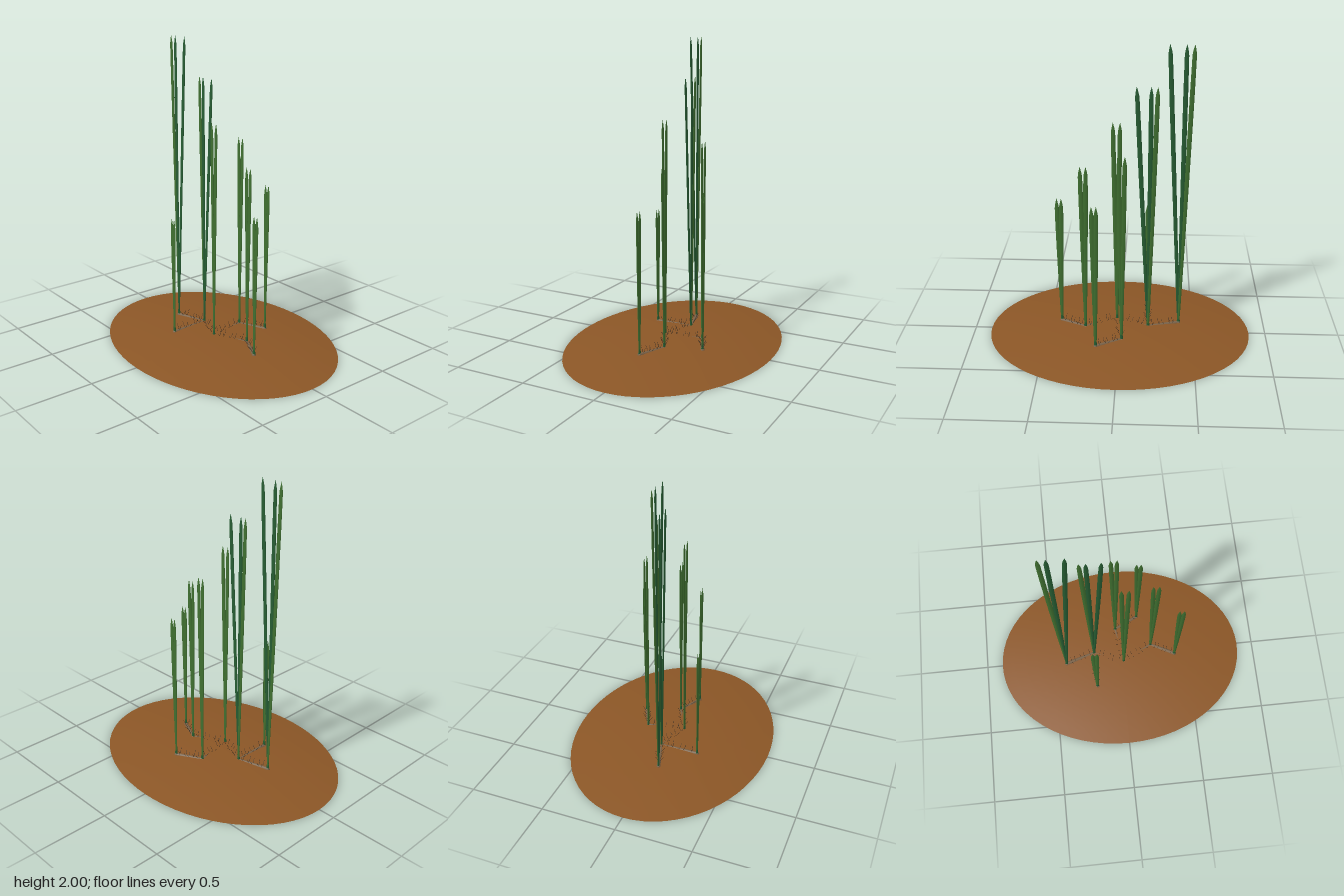
import * as THREE from 'three';

const mat = (name, color, extra = {}) => {
  const m = new THREE.MeshStandardMaterial({ color, ...extra });
  m.name = name;
  return m;
};

export function createModel() {
  const root = new THREE.Group();
  root.name = 'seagrass';
  const sand = mat('sandBrown', 0x8b5626, { side: THREE.DoubleSide });
  const leaf = mat('leafGreen', 0x3f6f30);
  const deepLeaf = mat('deepLeafGreen', 0x265c32);
  const stem = mat('rhizomeBrown', 0x7a6248);
  const hair = mat('rootBrown', 0x3b2d20);
  const RUN_Y = 0.046;

  const add = (parent, name, geo, material) => {
    const m = new THREE.Mesh(geo, material);
    m.name = name;
    parent.add(m);
    return m;
  };

  // Cylinder laid between two points
  const rod = (parent, name, a, b, r0, r1, sides, material) => {
    const dir = b.clone().sub(a);
    const m = add(parent, name, new THREE.CylinderGeometry(r1, r0, dir.length(), sides), material);
    m.position.copy(a).add(b).multiplyScalar(0.5);
    m.quaternion.setFromUnitVectors(new THREE.Vector3(0, 1, 0), dir.normalize());
    return m;
  };

  // Shallow oval mound, open underneath
  const profile = [];
  for (let i = 0; i <= 10; i++) {
    const r = 1 - i / 10;
    profile.push(new THREE.Vector2(r, 0.06 * (1 - r * r)));
  }
  const moundGeo = new THREE.LatheGeometry(profile, 64);
  moundGeo.scale(0.888, 1, 0.676);
  moundGeo.computeVertexNormals();
  add(root, 'mound', moundGeo, sand);

  // Ribbon leaf: narrow foot, widest near the top, pointed tip
  const widths = [[0, 0.007], [0.06, 0.009], [0.3, 0.012], [0.6, 0.0145], [0.85, 0.015], [1, 0.013]];
  const widthAt = (t) => {
    const i = Math.max(1, widths.findIndex((w) => w[0] >= t));
    const [a, b] = [widths[i - 1], widths[i]];
    return a[1] + (b[1] - a[1]) * (t - a[0]) / (b[0] - a[0]);
  };
  const blade = (height, lean) => {
    const rows = 20;
    const geo = new THREE.CylinderGeometry(1, 1, 1, 8, rows, true);
    const p = geo.attributes.position;
    for (let i = 0; i < p.count; i++) {
      const row = Math.round((p.getY(i) + 0.5) * rows);
      // the last five rows crowd into the rounded point
      const tip = Math.max(0, row - 15) / 5;
      const y = row <= 15 ? (height - 0.07) * row / 15 : height - 0.07 + 0.07 * tip;
      const t = y / height;
      const w = widthAt(t) * Math.max(0.04, 1 - Math.pow(tip, 1.6));
      p.setXYZ(i, p.getX(i) * w + lean * t, y, p.getZ(i) * 0.0042 * Math.max(0.1, 1 - tip * tip));
    }
    geo.computeVertexNormals();
    return geo;
  };

  // Shoots: x, z, top height, sideways lean of each leaf
  const shoots = {
    a: [-0.405, 0.045, 2.0, [-0.048, 0, 0.102]],
    b: [-0.195, -0.018, 1.75, [-0.04, 0, 0.09]],
    c: [0.02, 0.067, 1.49, [-0.02, 0.026]],
    d: [-0.02, -0.188, 1.36, [-0.02, 0.02]],
    e: [0.232, -0.04, 1.23, [-0.018, 0.02]],
    f: [0.149, -0.272, 1.06, [-0.014, 0.016]],
    g: [0.402, 0.045, 0.97, [-0.016, 0.014]],
    h: [-0.192, 0.238, 0.845, [-0.014, 0.014]],
  };
  const at = (key) => new THREE.Vector3(shoots[key][0], RUN_Y, shoots[key][1]);
  for (const key of Object.keys(shoots)) {
    const [x, z, top, leans] = shoots[key];
    const shoot = new THREE.Group();
    shoot.name = 'shoot';
    shoot.position.set(x, RUN_Y, z);
    leans.forEach((lean, i) => {
      const dark = leans.length === 3 && i > 0;
      const m = add(shoot, 'leaf', blade(top - RUN_Y, lean), dark ? deepLeaf : leaf);
      m.position.z = (i - (leans.length - 1) / 2) * 0.002;
    });
    // Sheath and growing knot at the foot
    const sheath = add(shoot, 'sheath', new THREE.CylinderGeometry(0.008, 0.012, 0.04, 8), deepLeaf);
    sheath.position.y = 0.02;
    sheath.scale.z = 0.7;
    add(shoot, 'knot', new THREE.SphereGeometry(0.014, 10, 8), stem);
    root.add(shoot);
  }

  // Creeping stems between shoots, with pairs of fine rootlets
  for (const [from, to] of ['ab', 'bh', 'bc', 'cd', 'ce', 'eg', 'df']) {
    const a = at(from);
    const b = at(to);
    rod(root, 'rhizome', a, b, 0.0125, 0.0125, 10, stem);
    const side = new THREE.Vector3(a.z - b.z, 0, b.x - a.x).normalize();
    for (let i = 1; i <= 5; i++) {
      const p = a.clone().lerp(b, i / 6 + (i % 2 ? 0.02 : -0.02));
      for (const s of [-1, 1]) {
        const reach = 0.022 + 0.004 * ((i + s + 3) % 3);
        const end = p.clone().addScaledVector(side, s * reach);
        end.y += 0.032 + 0.008 * (i % 3);
        rod(root, 'rootlet', p, end, 0.0018, 0.0008, 5, hair);
      }
    }
  }
  return root;
}
